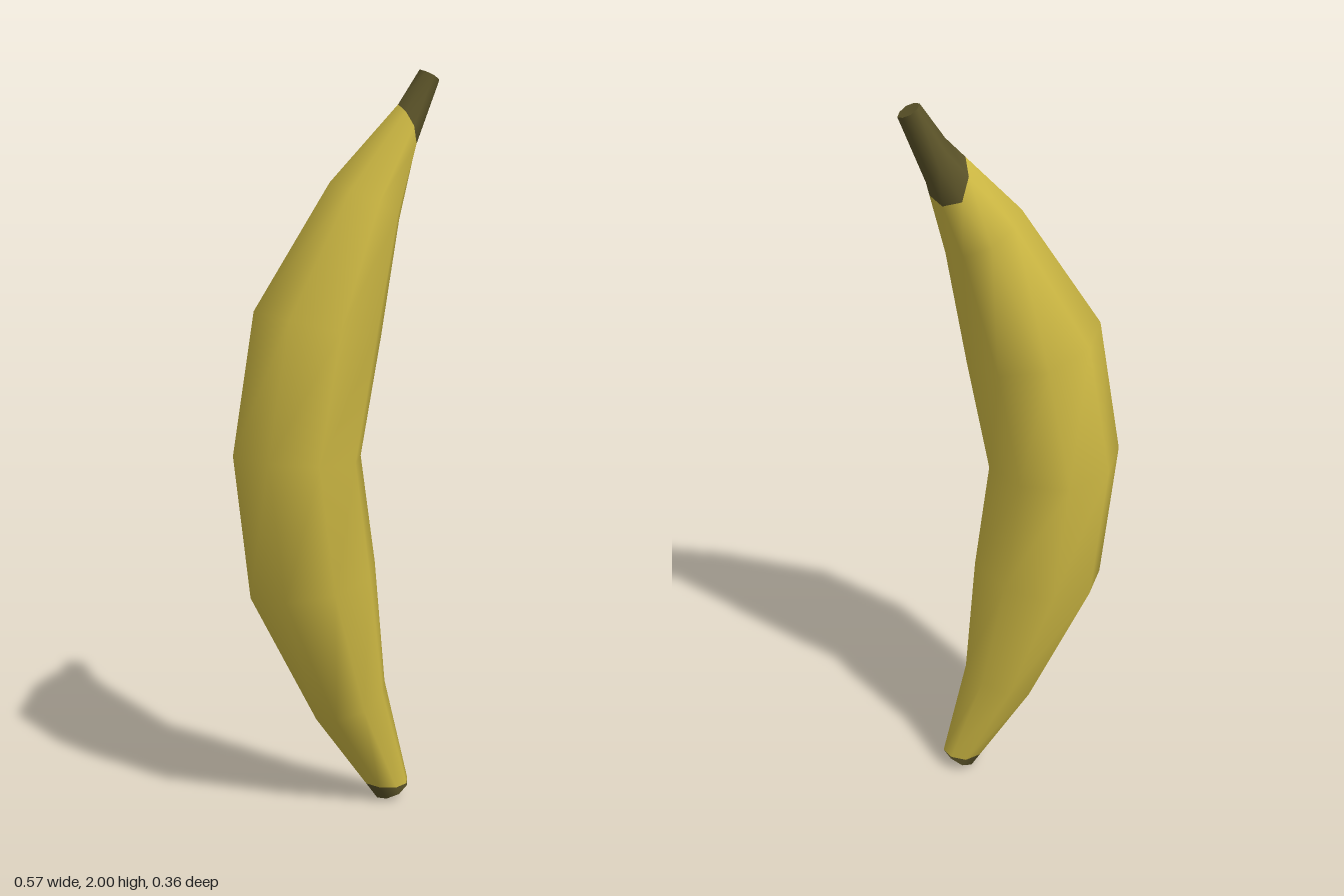
import * as THREE from 'three';
import { mergeVertices } from 'three/addons/utils/BufferGeometryUtils.js';

// Cross-sections from stem to tip: [outer x, outer y, inner x, inner y, half depth]
const SECTIONS = [
  [0.23, 2.0, 0.285, 1.97, 0.034],
  [0.17, 1.91, 0.22, 1.8, 0.052],
  [-0.02, 1.71, 0.175, 1.61, 0.11],
  [-0.23, 1.38, 0.125, 1.3, 0.182],
  [-0.29, 1.0, 0.068, 0.98, 0.182],
  [-0.245, 0.61, 0.11, 0.68, 0.182],
  [-0.06, 0.25, 0.14, 0.34, 0.11],
  [0.12, 0.0, 0.21, 0.048, 0.053],
];
const SIDES = 8;
const DIAGONAL = 0.67; // slightly flattened octagon

// One octagonal ring, starting on the outer curve and passing the front first
function ring([ox, oy, ix, iy, depth]) {
  const points = [];
  for (let c = 0; c <= SIDES; c++) {
    const a = (c % SIDES) * Math.PI / 4;
    const k = c % 2 ? DIAGONAL * Math.SQRT2 : 1;
    const u = -Math.cos(a) * k * 0.5 + 0.5;
    points.push(new THREE.Vector3(
      ox + (ix - ox) * u, oy + (iy - oy) * u, Math.sin(a) * k * depth));
  }
  return points;
}

// Ring between two others, with a separate fraction for each column
const between = (a, b, fraction) => a.map((p, c) => p.clone().lerp(b[c], fraction(p, b[c], c)));

// Flat end of the fruit
function cap(points, down, material, name) {
  const centre = points[0].clone().add(points[4]).multiplyScalar(0.5);
  const triangles = [];
  for (let c = 0; c < SIDES; c++) {
    const edge = [points[c], points[c + 1]];
    if (down) edge.reverse();
    triangles.push(centre, ...edge);
  }
  const geometry = new THREE.BufferGeometry().setFromPoints(triangles);
  geometry.computeVertexNormals();
  const mesh = new THREE.Mesh(geometry, material);
  mesh.name = name;
  return mesh;
}

export function createModel() {
  const skin = new THREE.MeshStandardMaterial({ name: 'yellow skin', color: 0xcdb843 });
  const stem = new THREE.MeshStandardMaterial({ name: 'dark stem', color: 0x5a5228 });
  const tip = new THREE.MeshStandardMaterial({ name: 'grey tip', color: 0x8a8a8a });

  const rings = SECTIONS.map(ring);

  // Stem colour runs further down the back than the front
  const stemEdge = [0, 0, 0, 0.05, 0.18, 0.34, 0.43, 0.34, 0.26];
  rings.splice(2, 0, between(rings[1], rings[2], (a, b, c) => stemEdge[c]));

  // Level edge of the dark band at the lower end
  const last = rings.length - 1;
  rings.splice(last, 0, between(rings[last - 1], rings[last],
    (a, b) => Math.min(1, (a.y - 0.046) / (a.y - b.y))));

  // Body loft
  const positions = [], index = [];
  const columns = SIDES + 1;
  rings.forEach(points => points.forEach(p => positions.push(p.x, p.y, p.z)));
  for (let r = 0; r < rings.length - 1; r++) {
    for (let c = 0; c < SIDES; c++) {
      const a = r * columns + c, b = a + columns;
      index.push(a, b, a + 1, b, b + 1, a + 1);
    }
  }
  let geometry = new THREE.BufferGeometry();
  geometry.setAttribute('position', new THREE.Float32BufferAttribute(positions, 3));
  geometry.setIndex(index);
  geometry = mergeVertices(geometry, 1e-5);
  geometry.computeVertexNormals();

  // Stem, skin and lower band share one smooth surface
  const row = SIDES * 6, total = index.length;
  geometry.clearGroups();
  geometry.addGroup(0, row * 2, 1);
  geometry.addGroup(row * 2, total - row * 3, 0);
  geometry.addGroup(total - row, row, 1);
  const body = new THREE.Mesh(geometry, [skin, stem]);
  body.name = 'fruitBody';

  const model = new THREE.Group();
  model.name = 'banana';
  model.add(
    body,
    cap(rings[0], false, stem, 'stemEnd'),
    cap(rings[rings.length - 1], true, tip, 'lowerTip'),
  );
  return model;
}
